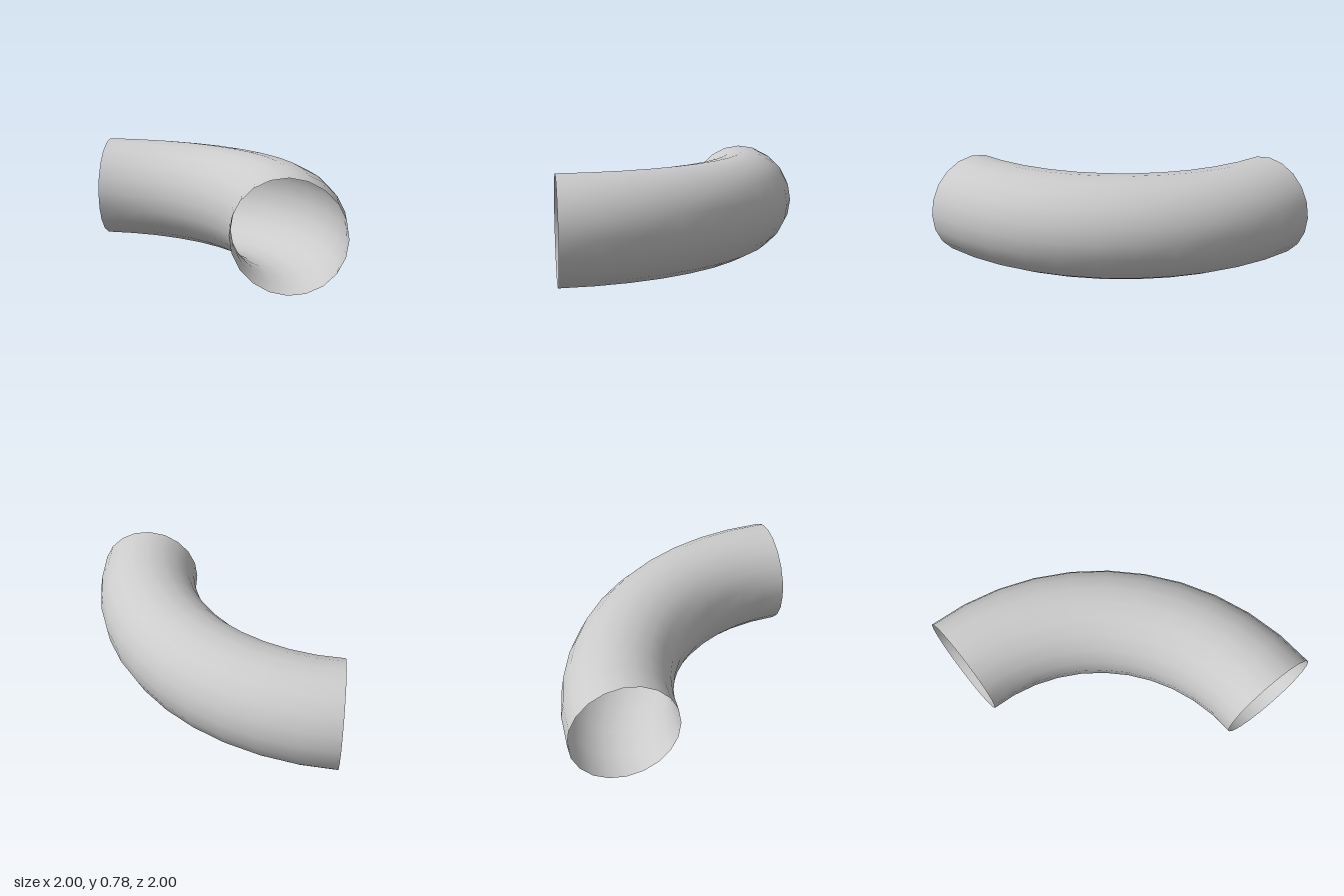
import * as THREE from 'three';

export function createModel() {
  const group = new THREE.Group();
  const tube = 0.389;        // pipe radius
  const bend = 2 - tube;     // centre-line radius of the bend

  // Open quarter-turn pipe, laid flat around the corner at (-1, 1)
  const geometry = new THREE.TorusGeometry(bend, tube, 20, 11, Math.PI / 2);
  geometry.rotateX(-Math.PI / 2);
  geometry.translate(-1, tube, 1);

  const pipe = new THREE.Mesh(
    geometry,
    new THREE.MeshStandardMaterial({ color: 0xcccccc, side: THREE.DoubleSide })
  );
  pipe.name = 'pipeElbow';
  group.add(pipe);
  return group;
}
